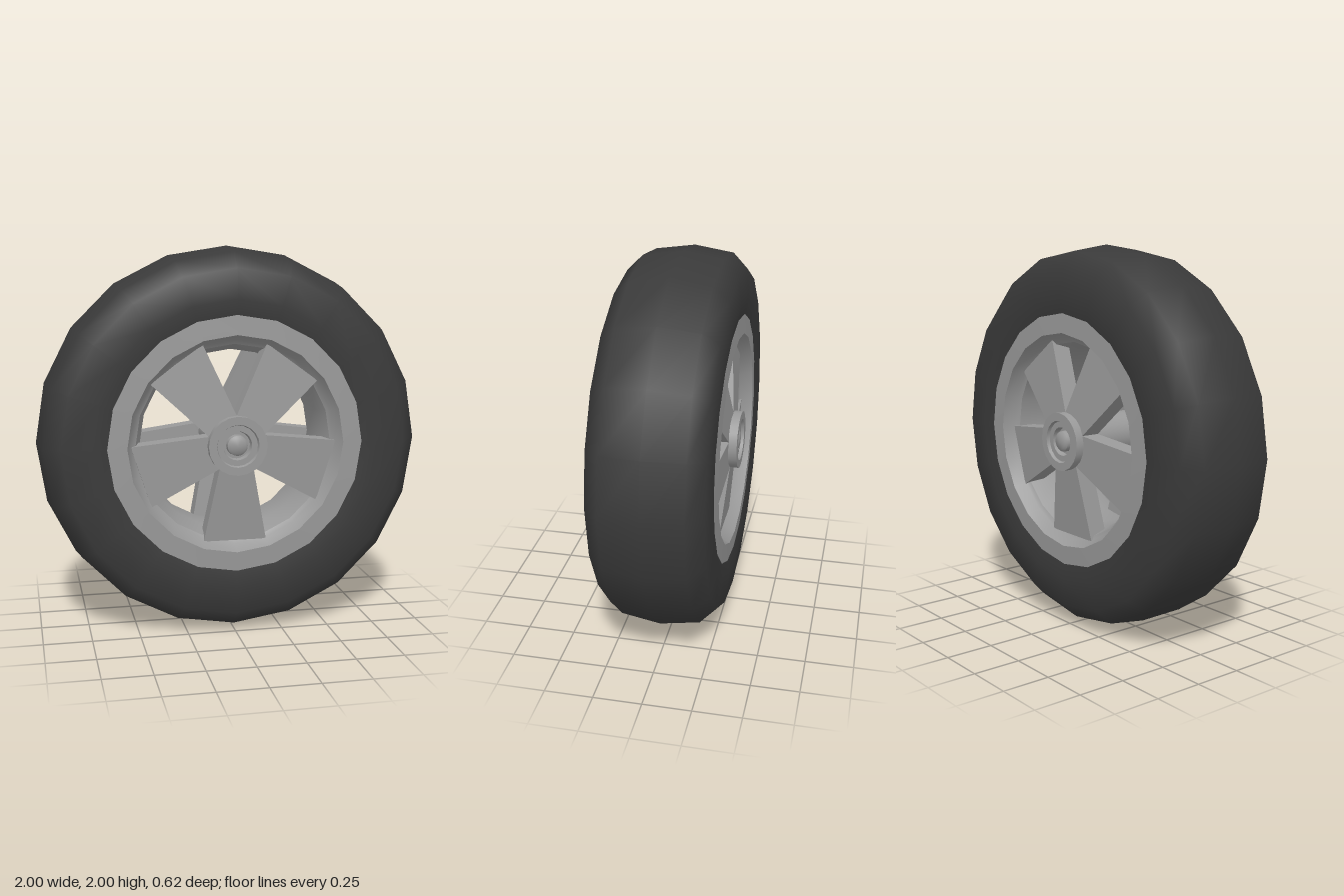
import * as THREE from 'three';
import { toCreasedNormals } from 'three/addons/utils/BufferGeometryUtils.js';

const SIDES = 20;
const rubber = new THREE.MeshStandardMaterial({ color: 0x3a3a3a });
const metal = new THREE.MeshStandardMaterial({ color: 0x999999 });

// Ring or disc turned around the z axis from [radius, z] points
function turned(name, points, material, crease) {
  let geo = new THREE.LatheGeometry(points.map(([r, z]) => new THREE.Vector2(r, z)), SIDES);
  geo.rotateX(Math.PI / 2);
  if (crease) geo = toCreasedNormals(geo, crease);
  const mesh = new THREE.Mesh(geo, material);
  mesh.name = name;
  return mesh;
}

// Tapered slab hanging below the hub, its front face sloping back towards the rim
function spokeGeometry() {
  const shape = new THREE.Shape([
    new THREE.Vector2(-0.165, -0.51), new THREE.Vector2(0.165, -0.51),
    new THREE.Vector2(0.088, -0.12), new THREE.Vector2(-0.088, -0.12),
  ]);
  const geo = new THREE.ExtrudeGeometry(shape, { depth: 0.1, bevelEnabled: false });
  const pos = geo.attributes.position;
  for (let i = 0; i < pos.count; i++) {
    const out = (-pos.getY(i) - 0.12) / 0.39;
    pos.setZ(i, pos.getZ(i) + 0.17 - 0.04 * out);
  }
  geo.computeVertexNormals();
  return geo;
}

export function createModel() {
  const wheel = new THREE.Group();
  wheel.name = 'wheel';

  // Tyre: rounded shoulders, nearly flat sidewalls
  const half = [[0.66, 0.285], [0.74, 0.297], [0.89, 0.285], [0.97, 0.205]];
  const back = half.map(([r, z]) => [r, -z]);
  wheel.add(turned('tyre', [...back, [1, 0], ...half.slice().reverse()], rubber));

  // Rim: flat lips and a barrel that narrows in steps to the middle
  const lip = [[0.66, 0.285], [0.56, 0.29], [0.53, 0.225], [0.51, 0.21], [0.475, 0.1]];
  wheel.add(turned('rim', [...lip, ...lip.map(([r, z]) => [r, -z]).reverse()], metal, 0.6));

  // Axle core joining the two faces
  wheel.add(turned('axle', [[0.12, -0.2], [0.12, 0.2]], metal));

  // One wheel face, repeated on the back by a half turn
  const spokeGeo = spokeGeometry();
  for (const side of ['front', 'back']) {
    const face = new THREE.Group();
    face.name = side + 'Face';
    for (let i = 0; i < 5; i++) {
      const spoke = new THREE.Mesh(spokeGeo, metal);
      spoke.name = 'spoke';
      spoke.rotation.z = (i * Math.PI * 2) / 5;
      face.add(spoke);
    }
    // Hub ring with a recessed centre, and the axle cap inside it
    face.add(turned('hub', [[0, 0.17], [0.15, 0.17], [0.152, 0.312], [0.11, 0.312],
      [0.105, 0.295], [0.075, 0.295], [0.07, 0.265], [0, 0.265]], metal, 0.6));
    face.add(turned('axleCap', [[0.055, 0.26], [0.052, 0.295], [0.04, 0.305], [0, 0.31]], metal, 0.6));
    if (side === 'back') face.rotation.y = Math.PI;
    wheel.add(face);
  }

  wheel.position.y = 1;
  const model = new THREE.Group();
  model.add(wheel);
  return model;
}
